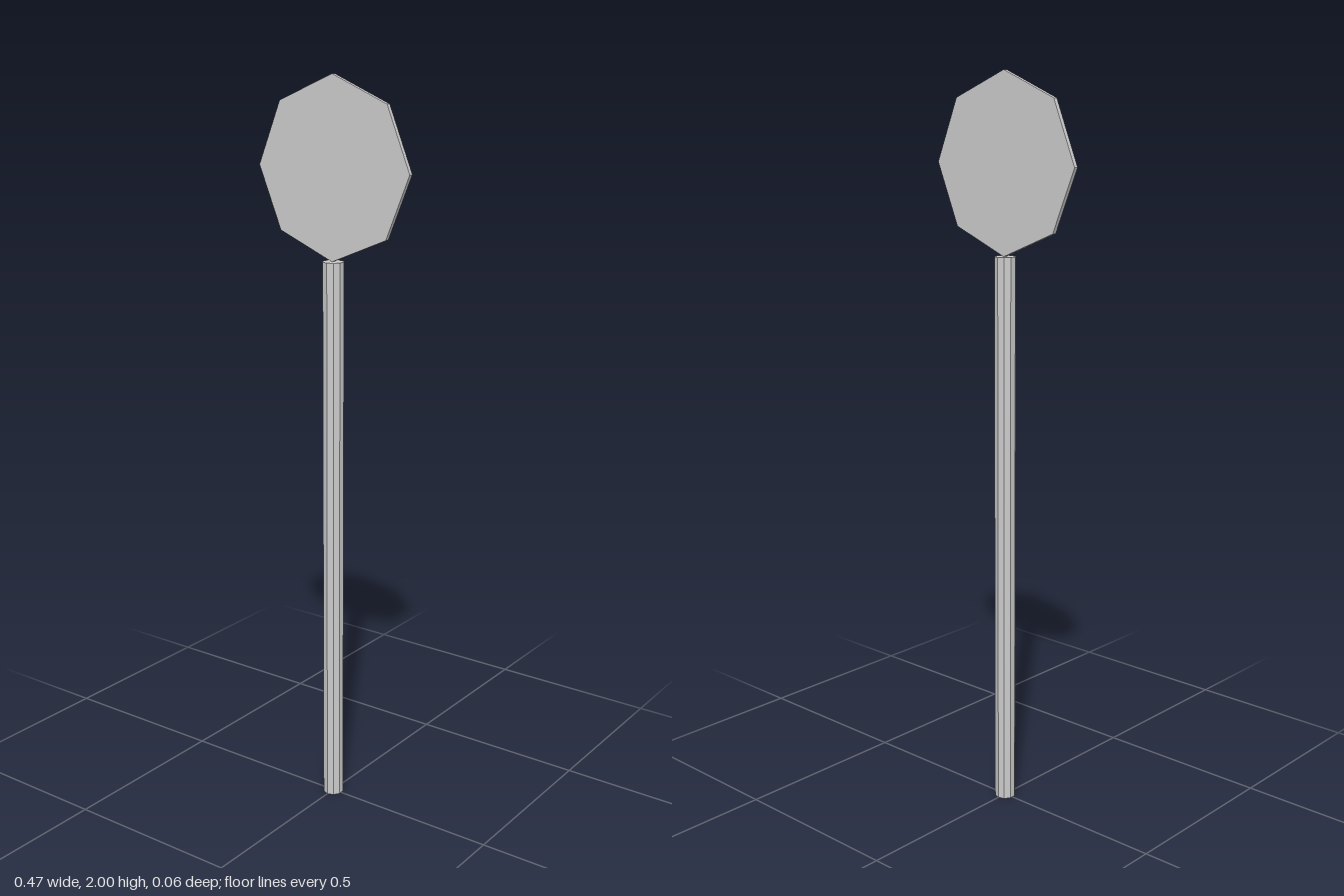
import * as THREE from 'three';

export function createModel() {
  const model = new THREE.Group();
  const grey = new THREE.MeshStandardMaterial({ color: 0xcccccc });
  grey.name = 'light grey';
  grey.flatShading = true;

  const poleHeight = 1.53;
  const signRadius = 0.235;

  // Ten-sided post standing on the ground
  const pole = new THREE.Mesh(new THREE.CylinderGeometry(0.029, 0.029, poleHeight, 10), grey);
  pole.name = 'pole';
  pole.position.y = poleHeight / 2;

  // Thin octagonal plate balanced on one corner, facing front and back
  const plate = new THREE.CylinderGeometry(signRadius, signRadius, 0.012, 8);
  plate.rotateX(Math.PI / 2);
  const sign = new THREE.Mesh(plate, grey);
  sign.name = 'signPlate';
  sign.position.y = poleHeight + signRadius;

  model.add(pole, sign);
  return model;
}
